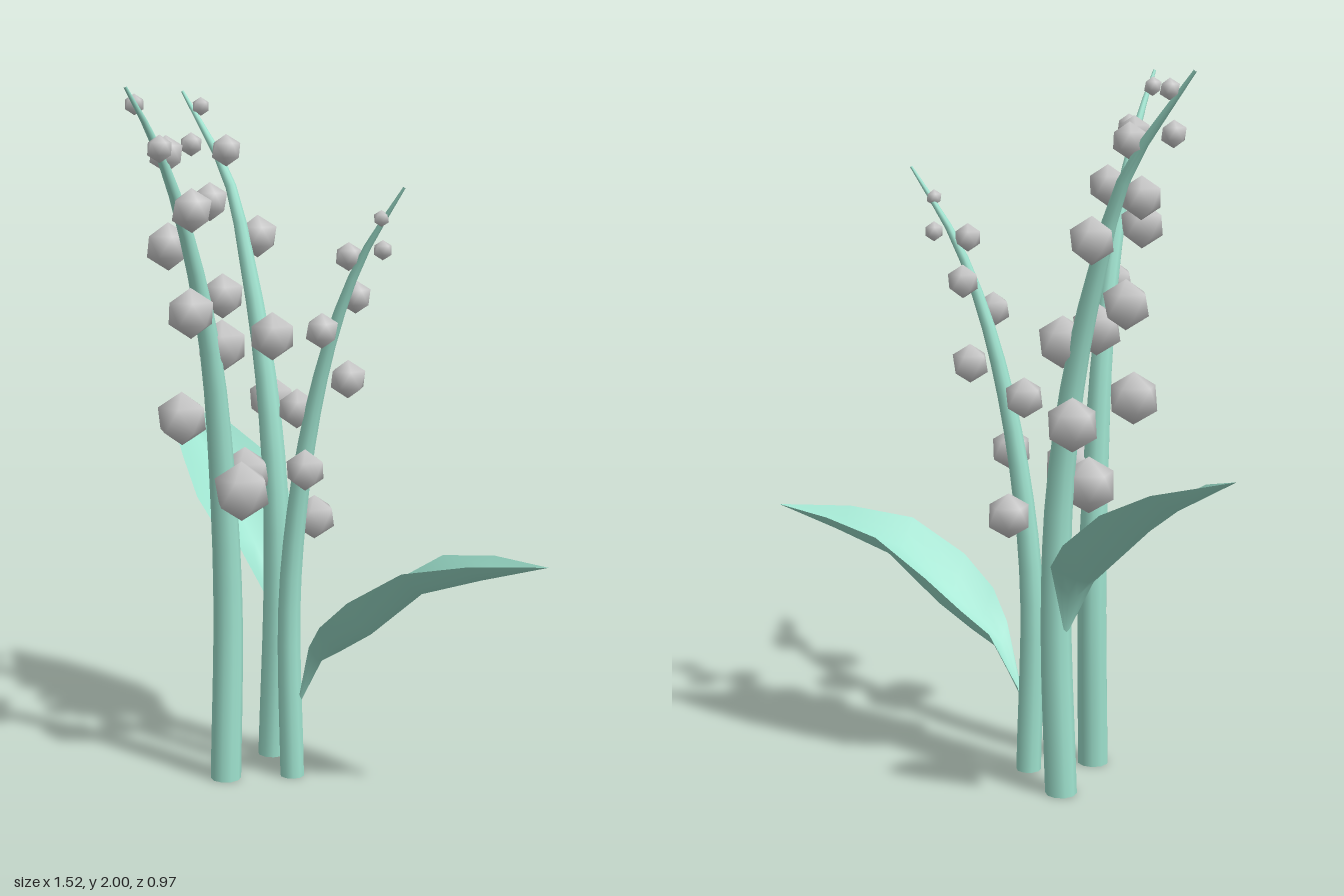
import * as THREE from 'three';

const green = new THREE.MeshStandardMaterial({ color: 0x9fe3cf });
const leafGreen = new THREE.MeshStandardMaterial({ color: 0x9fe3cf, side: THREE.DoubleSide });
const grey = new THREE.MeshStandardMaterial({ color: 0xcccccc });

// Smooth-shaded icosahedron standing on a vertex
const berryGeometry = new THREE.IcosahedronGeometry(1, 0);
berryGeometry.rotateX(-Math.atan((1 + Math.sqrt(5)) / 2));
berryGeometry.setAttribute('normal', berryGeometry.attributes.position.clone());

function addMesh(parent, name, geometry, material) {
  const mesh = new THREE.Mesh(geometry, material);
  mesh.name = name;
  parent.add(mesh);
  return mesh;
}

// Tube along a curve, narrowing towards the tip, closed at the foot
function addStem(parent, points, radius) {
  const curve = new THREE.CatmullRomCurve3(points.map(p => new THREE.Vector3(...p)));
  const rings = 18, sides = 10;
  const geometry = new THREE.TubeGeometry(curve, rings, radius, sides);
  const pos = geometry.attributes.position;
  const v = new THREE.Vector3();
  for (let i = 0; i <= rings; i++) {
    const t = i / rings;
    const centre = curve.getPointAt(t);
    for (let j = 0; j <= sides; j++) {
      const k = i * (sides + 1) + j;
      v.fromBufferAttribute(pos, k).sub(centre).multiplyScalar(1 - 0.9 * t * t).add(centre);
      if (i === 0) v.y = 0;
      pos.setXYZ(k, v.x, v.y, v.z);
    }
  }
  addMesh(parent, 'stem', geometry, green);
  const foot = addMesh(parent, 'stemFoot', new THREE.CircleGeometry(radius, sides), green);
  foot.rotation.x = Math.PI / 2;
  foot.position.set(points[0][0], 0, points[0][2]);
}

// Berries given as [x, y, z, radius]
function addBerries(parent, list) {
  list.forEach(([x, y, z, r], i) => {
    const berry = addMesh(parent, 'berry', berryGeometry, grey);
    berry.position.set(x, y, z);
    berry.scale.setScalar(r);
    berry.rotation.y = i * 2.4;
  });
}

// Folded leaf from sections [distance, spine height, edge height, half width]
function addLeaf(parent, x, z, angle, sections) {
  const across = 6, positions = [], index = [];
  sections.forEach(([d, spine, edge, half], i) => {
    for (let j = 0; j <= across; j++) {
      const s = j / across * 2 - 1;
      positions.push(d, spine + (edge - spine) * Math.abs(s) ** 1.4, s * half);
      if (i && j) {
        const a = i * (across + 1) + j, b = a - across - 1;
        index.push(b - 1, b, a, b - 1, a, a - 1);
      }
    }
  });
  const geometry = new THREE.BufferGeometry();
  geometry.setAttribute('position', new THREE.Float32BufferAttribute(positions, 3));
  geometry.setIndex(index);
  geometry.computeVertexNormals();
  const leaf = addMesh(parent, 'leaf', geometry, leafGreen);
  leaf.position.set(x, 0, z);
  leaf.rotation.y = angle;
}

function addSprig(parent, name) {
  const sprig = new THREE.Group();
  sprig.name = name;
  parent.add(sprig);
  return sprig;
}

export function createModel() {
  const model = new THREE.Group();
  model.name = 'berrySprigs';

  // Front sprig, leaning forward
  const front = addSprig(model, 'frontSprig');
  addStem(front, [
    [-0.19, 0, 0.075], [-0.19, 0.5, 0.058], [-0.19, 0.87, 0.08], [-0.192, 1.27, 0.135],
    [-0.2, 1.6, 0.235], [-0.21, 1.83, 0.345], [-0.22, 2, 0.48]], 0.045);
  addBerries(front, [
    [-0.235, 1.955, 0.42, 0.028], [-0.17, 1.84, 0.4, 0.037], [-0.22, 1.825, 0.3, 0.05],
    [-0.145, 1.675, 0.29, 0.06], [-0.275, 1.57, 0.217, 0.067], [-0.165, 1.395, 0.27, 0.07],
    [-0.19, 1.285, 0.08, 0.075], [-0.275, 1.08, 0.16, 0.077], [-0.11, 0.877, 0.105, 0.086]]);

  // Back sprig, leaning to the right, with a steep leaf
  const back = addSprig(model, 'backSprig');
  addStem(back, [
    [-0.187, 0, -0.18], [-0.17, 0.5, -0.18], [-0.18, 0.85, -0.185], [-0.23, 1.2, -0.205],
    [-0.3, 1.48, -0.23], [-0.39, 1.74, -0.26], [-0.58, 2, -0.298]], 0.045);
  addBerries(back, [
    [-0.515, 1.955, -0.3, 0.028], [-0.507, 1.842, -0.235, 0.036], [-0.397, 1.825, -0.26, 0.048],
    [-0.405, 1.675, -0.182, 0.058], [-0.31, 1.57, -0.297, 0.064], [-0.37, 1.395, -0.195, 0.068],
    [-0.19, 1.285, -0.188, 0.072], [-0.255, 1.08, -0.285, 0.074], [-0.24, 0.88, -0.113, 0.08]]);
  addLeaf(back, -0.21, -0.2, Math.PI - 0.478, [
    [0, 0.48, 0.49, 0.012], [0.04, 0.59, 0.65, 0.085], [0.09, 0.64, 0.71, 0.14],
    [0.16, 0.7, 0.785, 0.16], [0.28, 0.8, 0.885, 0.142], [0.42, 0.9, 0.955, 0.1],
    [0.62, 1.01, 1.01, 0]]);

  // Left sprig, shorter, with a spreading leaf
  const left = addSprig(model, 'leftSprig');
  addStem(left, [
    [-0.035, 0, -0.047], [-0.045, 0.5, -0.047], [-0.022, 0.78, -0.047], [0.03, 1.08, -0.047],
    [0.1, 1.33, -0.047], [0.19, 1.54, -0.048], [0.32, 1.735, -0.05]], 0.036);
  addBerries(left, [
    [0.255, 1.65, -0.04, 0.023], [0.233, 1.56, -0.09, 0.028], [0.15, 1.542, -0.045, 0.04],
    [0.14, 1.425, -0.103, 0.047], [0.094, 1.337, 0.005, 0.05], [0.127, 1.193, -0.085, 0.055],
    [-0.025, 1.1, -0.057, 0.058], [0.04, 0.937, 0.005, 0.06], [-0.005, 0.773, -0.122, 0.065]]);
  addLeaf(left, 0, -0.058, 0.022, [
    [-0.01, 0.23, 0.25, 0.012], [0.055, 0.36, 0.42, 0.07], [0.12, 0.4, 0.5, 0.125],
    [0.22, 0.465, 0.59, 0.145], [0.38, 0.605, 0.69, 0.13], [0.56, 0.667, 0.722, 0.08],
    [0.758, 0.728, 0.728, 0]]);

  return model;
}
